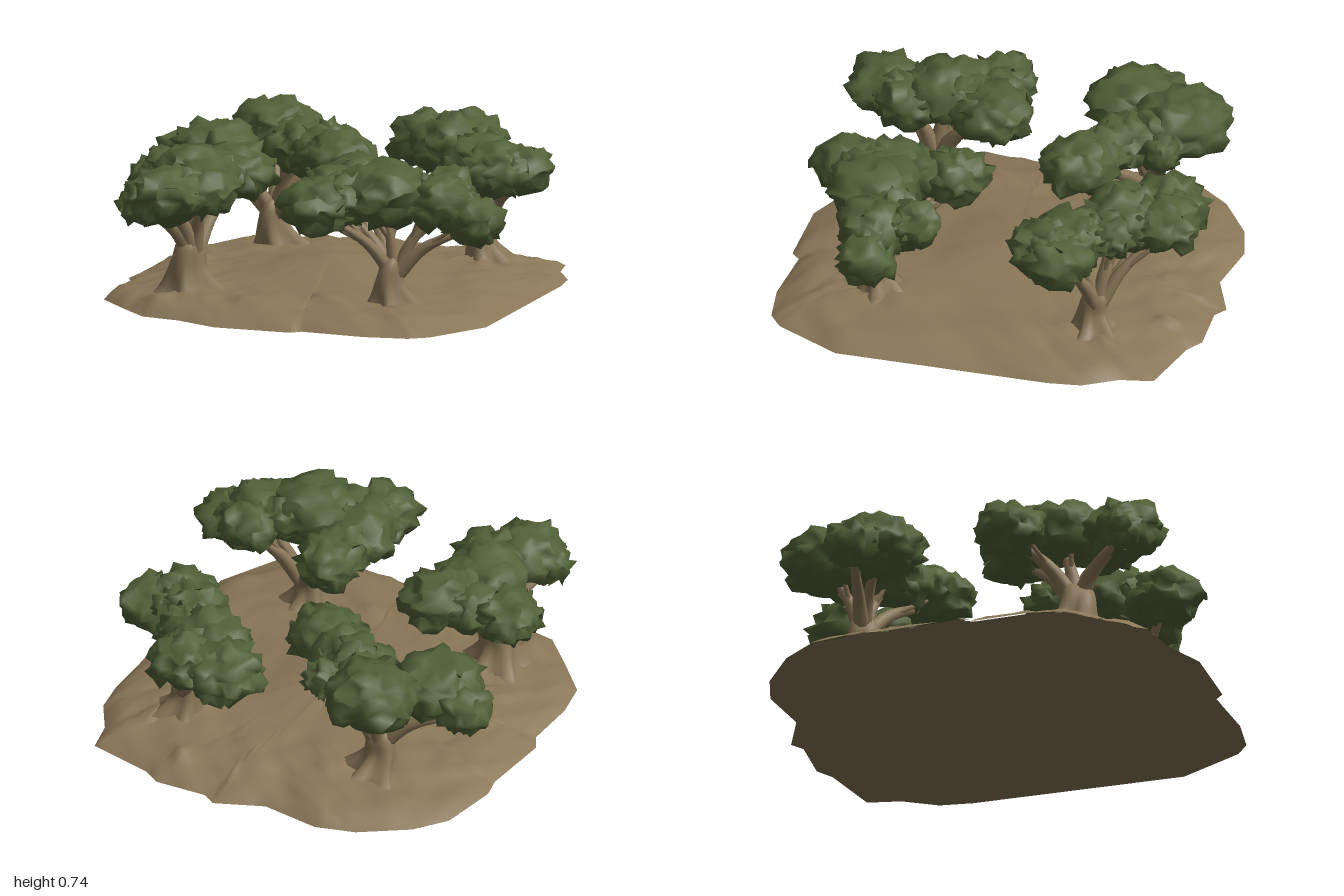
import * as THREE from 'three';
import { mergeVertices } from 'three/addons/utils/BufferGeometryUtils.js';

let seed = 7;
const rand = () => {
  seed = (seed * 16807) % 2147483647;
  return seed / 2147483647;
};

// Weld shared corners and shade smoothly
function weld(geo) {
  geo.deleteAttribute('uv');
  geo.deleteAttribute('normal');
  const g = mergeVertices(geo, 1e-4);
  g.computeVertexNormals();
  return g;
}

// Island outline as x, z pairs, running from +x towards +z
const OUTLINE = [
  [0.94, 0], [0.94, 0.58], [0.78, 0.88], [0.7, 0.94], [0.5, 0.97], [0.2, 0.95], [0.16, 0.99],
  [-0.2, 0.99], [-0.4, 0.9], [-0.58, 0.87], [-0.72, 0.73], [-0.87, 0.57], [-0.9, 0.4], [-0.89, 0.15],
  [-0.93, 0.08], [-0.9, -0.25], [-0.92, -0.35], [-0.87, -0.62], [-0.76, -0.76], [-0.55, -0.9], [-0.37, -0.95],
  [-0.1, -0.91], [0.12, -1], [0.18, -0.96], [0.42, -0.97], [0.5, -0.92], [0.8, -0.85], [0.83, -0.7],
  [0.92, -0.55], [0.94, -0.4],
];

// Height from centre (0) to rim (1): low central hill, plateau, sloping edge
const PROFILE = [[0, 0.166], [0.22, 0.135], [0.34, 0.107], [0.5, 0.09], [0.72, 0.08], [0.86, 0.06], [0.95, 0.035], [1, 0.005]];
function profile(s) {
  let i = 1;
  while (i < PROFILE.length - 1 && s > PROFILE[i][0]) i++;
  const [a, b] = [PROFILE[i - 1], PROFILE[i]];
  return THREE.MathUtils.mapLinear(s, a[0], b[0], a[1], b[1]);
}

function groundGeometry() {
  const per = 4, rings = 26, n = OUTLINE.length * per;
  const pos = [0, PROFILE[0][1], 0], idx = [];
  // small sharp clods scattered around the outskirts: x, z, height, spread
  const clods = Array.from({ length: 90 }, () => {
    const a = rand() * Math.PI * 2, d = 0.5 + 0.42 * rand();
    return [Math.cos(a) * d, Math.sin(a) * d, 0.045 * (rand() - 0.35), 0.02 + 0.035 * rand()];
  });
  for (let r = 1; r <= rings; r++) {
    const s = r / rings;
    for (let k = 0; k < n; k++) {
      const a = OUTLINE[Math.floor(k / per)], b = OUTLINE[(Math.floor(k / per) + 1) % OUTLINE.length];
      const f = (k % per) / per;
      const x = (a[0] + (b[0] - a[0]) * f) * s, z = (a[1] + (b[1] - a[1]) * f) * s;
      const rough = THREE.MathUtils.smoothstep(s, 0.35, 0.65) * (1 - THREE.MathUtils.smoothstep(s, 0.96, 1));
      let bump = 0.011 * Math.sin(13 * x + 4 * z) * Math.sin(11 * z - 5 * x) + 0.006 * Math.sin(29 * x) * Math.cos(27 * z);
      bump += (rand() - 0.5) * 0.012;
      for (const [cx, cz, h, w] of clods) bump += h * Math.max(0, 1 - Math.hypot(x - cx, z - cz) / w);
      const mound = 0.06 * Math.exp(-((x + 0.58) ** 2 + (z - 0.74) ** 2) / 0.005);
      pos.push(x, Math.max(0.003, profile(s) + bump * rough + mound * (1 - s ** 12)), z);
    }
  }
  for (let k = 0; k < n; k++) {
    const k2 = (k + 1) % n;
    idx.push(0, 1 + k2, 1 + k);
    for (let r = 0; r < rings - 1; r++) {
      const a = 1 + r * n + k, b = 1 + r * n + k2;
      idx.push(a, b, a + n, b, b + n, a + n);
    }
  }
  const g = new THREE.BufferGeometry();
  g.setAttribute('position', new THREE.Float32BufferAttribute(pos, 3));
  g.setIndex(idx);
  g.computeVertexNormals();
  return g;
}

// Tube whose radius follows radius(t, angle)
function limbGeometry(points, radius, segs, sides) {
  const curve = new THREE.CatmullRomCurve3(points);
  const g = new THREE.TubeGeometry(curve, segs, 1, sides, false);
  const p = g.attributes.position, v = new THREE.Vector3();
  for (let i = 0; i <= segs; i++) {
    const c = curve.getPointAt(i / segs);
    for (let j = 0; j <= sides; j++) {
      const k = i * (sides + 1) + j;
      v.fromBufferAttribute(p, k).sub(c).multiplyScalar(radius(i / segs, (j / sides) * Math.PI * 2)).add(c);
      p.setXYZ(k, v.x, v.y, v.z);
    }
  }
  return weld(g);
}

// Crumpled, jagged leafy clump of radius r
const halfHeight = (r) => 0.06 + 0.38 * r;
function clumpGeometry(r) {
  const g = weld(new THREE.IcosahedronGeometry(1, r > 0.14 ? 4 : 3));
  const p = g.attributes.position, v = new THREE.Vector3();
  const ry = halfHeight(r), ph = rand() * 6, jitter = () => (rand() - 0.5) * 0.035;
  for (let i = 0; i < p.count; i++) {
    v.fromBufferAttribute(p, i);
    const lump = 0.09 * Math.sin(6 * v.x + ph) * Math.sin(6 * v.z + 2 * ph);
    const d = 0.8 + lump + 0.34 * rand();
    p.setXYZ(i, v.x * r * d + jitter(), v.y * ry * d + jitter(), v.z * r * d + jitter());
  }
  g.computeVertexNormals();
  return g;
}

// Trunk foot, trunk radius, fork point, and a chain of leaf clumps as x, y, z, radius
const TREES = [
  { name: 'frontRightTree', foot: [0.46, 0.5], r: 0.052, fork: [0.48, 0.28, 0.5],
    clumps: [[0.2, 0.55, 0.23, 0.15], [0.2, 0.54, 0.5, 0.17], [0.2, 0.53, 0.71, 0.16], [0.44, 0.57, 0.54, 0.21],
      [0.65, 0.55, 0.3, 0.12], [0.68, 0.53, 0.47, 0.16], [0.84, 0.46, 0.46, 0.13]] },
  { name: 'frontLeftTree', foot: [-0.5, 0.5], r: 0.066, fork: [-0.47, 0.31, 0.5],
    clumps: [[-0.69, 0.53, 0.26, 0.15], [-0.37, 0.55, 0.2, 0.17], [-0.48, 0.57, 0.44, 0.2], [-0.38, 0.54, 0.61, 0.14],
      [-0.52, 0.53, 0.73, 0.18], [-0.63, 0.5, 0.77, 0.09]] },
  { name: 'backLeftTree', foot: [-0.44, -0.52], r: 0.058, fork: [-0.45, 0.3, -0.5],
    clumps: [[-0.84, 0.48, -0.43, 0.12], [-0.67, 0.53, -0.36, 0.2], [-0.49, 0.57, -0.64, 0.21], [-0.31, 0.55, -0.42, 0.15],
      [-0.06, 0.54, -0.27, 0.17], [-0.22, 0.55, -0.61, 0.08]] },
  { name: 'backRightTree', foot: [0.55, -0.51], r: 0.052, fork: [0.54, 0.28, -0.52],
    clumps: [[0.2, 0.55, -0.76, 0.18], [0.38, 0.57, -0.79, 0.15], [0.36, 0.57, -0.6, 0.18], [0.52, 0.56, -0.58, 0.1],
      [0.56, 0.54, -0.4, 0.17], [0.66, 0.53, -0.3, 0.15], [0.75, 0.52, -0.4, 0.14]] },
];

export function createModel() {
  const earth = new THREE.MeshStandardMaterial({ color: 0x8a7758 });
  earth.name = 'earthAndBark';
  const leaf = new THREE.MeshStandardMaterial({ color: 0x526138 });
  leaf.name = 'leafGreen';
  const model = new THREE.Group();
  const add = (parent, name, geo, mat) => {
    const m = new THREE.Mesh(geo, mat);
    m.name = name;
    parent.add(m);
    return m;
  };

  add(model, 'ground', groundGeometry(), earth);

  // Flat underside
  const under = new THREE.ShapeGeometry(new THREE.Shape(OUTLINE.map(([x, z]) => new THREE.Vector2(x, z))));
  under.rotateX(Math.PI / 2);
  add(model, 'underside', under, earth);

  for (const { name, foot, r, fork, clumps } of TREES) {
    const tree = new THREE.Group();
    tree.name = name;
    model.add(tree);
    const top = new THREE.Vector3(...fork);
    const base = new THREE.Vector3(foot[0], 0.06, foot[1]);

    // Fluted trunk with flared roots, rounded off inside the fork
    const mid = base.clone().lerp(top, 0.5).add(new THREE.Vector3(-0.015, 0, 0.015));
    const trunkRadius = (t, a) =>
      r * (1 + 0.16 * Math.cos(3 * a + 2 * t) + (1 - t) ** 3 * (1.1 + 0.7 * Math.cos(5 * a)) + 0.25 * t * t - 0.9 * t ** 8);
    add(tree, 'trunk', limbGeometry([base, mid, top], trunkRadius, 12, 20), earth);

    clumps.forEach(([x, y, z, cr], i) => {
      const centre = new THREE.Vector3(x, y, z);
      add(tree, 'leafClump', clumpGeometry(cr), leaf).position.copy(centre);

      // Smaller clump bridging to the next one in the chain
      if (i + 1 < clumps.length) {
        const [nx, ny, nz, nr] = clumps[i + 1];
        const next = new THREE.Vector3(nx, ny, nz);
        if (centre.distanceTo(next) < 0.335) {
          add(tree, 'fillClump', clumpGeometry(Math.min(cr, nr) * 0.85), leaf).position.lerpVectors(centre, next, 0.5);
        }
      }

      // Rising, curved branch with two twigs
      const end = new THREE.Vector3(x, y - halfHeight(cr) * 0.3, z);
      const start = top.clone().add(new THREE.Vector3((x - top.x) * 0.03, -0.08, (z - top.z) * 0.03));
      const bend = start.clone().lerp(end, 0.35);
      bend.y += 0.045;
      add(tree, 'branch', limbGeometry([start, bend, end], (t) => r * (0.68 - 0.48 * t), 10, 8), earth);
      for (const side of [-1, 1]) {
        const tip = end.clone().add(new THREE.Vector3(side * cr * 0.4, 0.02, -side * cr * 0.3));
        const elbow = bend.clone().lerp(tip, 0.5);
        add(tree, 'twig', limbGeometry([bend, elbow, tip], (t) => 0.015 - 0.009 * t, 5, 6), earth);
      }
    });
  }
  return model;
}
